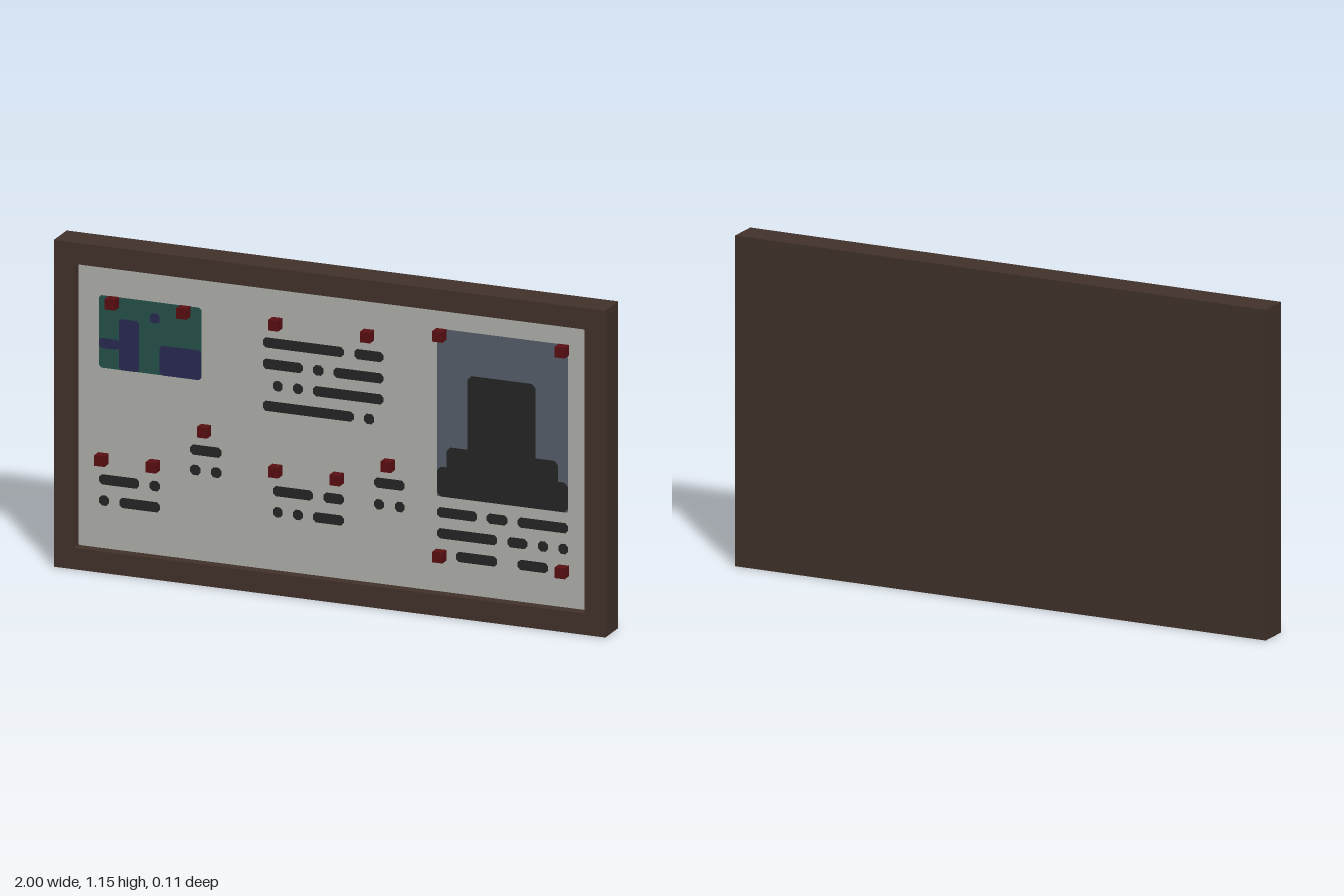
import * as THREE from 'three';

const mat = (name, color) => new THREE.MeshStandardMaterial({ name, color });

// Rectangle outline with cut corners
function cutRect(x0, x1, y0, y1, c) {
  const s = new THREE.Shape();
  s.moveTo(x0 + c, y0);
  s.lineTo(x1 - c, y0);
  s.lineTo(x1, y0 + c);
  s.lineTo(x1, y1 - c);
  s.lineTo(x1 - c, y1);
  s.lineTo(x0 + c, y1);
  s.lineTo(x0, y1 - c);
  s.lineTo(x0, y0 + c);
  s.closePath();
  return s;
}

export function createModel() {
  const wood = mat('dark wood', 0x42322a);
  const paper = mat('grey paper', 0xb0b2ac);
  const ink = mat('black ink', 0x252525);
  const red = mat('pin red', 0x5a0f12);
  const slate = mat('photo slate', 0x575e6a);
  const green = mat('picture green', 0x27524b);
  const navy = mat('picture navy', 0x292953);

  const model = new THREE.Group();
  model.name = 'noticeBoard';
  const W = 2, H = 1.15, D = 0.112, B = 0.075, FACE = 0.019;

  const add = (name, geo, material, parent = model) => {
    const m = new THREE.Mesh(geo, material);
    m.name = name;
    parent.add(m);
    return m;
  };
  const group = (name) => {
    const g = new THREE.Group();
    g.name = name;
    model.add(g);
    return g;
  };
  // Thin plates lying on the board face, one layer above another
  const plate = (name, [x0, x1, y0, y1], material, layer, cut, parent) => {
    const geo = new THREE.ShapeGeometry(cutRect(x0, x1, y0, y1, cut));
    add(name, geo, material, parent).position.z = FACE + layer * 0.0015;
  };

  // Frame with a rectangular opening, closed at the back
  const outline = cutRect(-W / 2, W / 2, 0, H, 0);
  outline.holes.push(cutRect(-W / 2 + B, W / 2 - B, B, H - B, 0.004));
  const frame = new THREE.ExtrudeGeometry(outline, { depth: D, bevelEnabled: false });
  frame.translate(0, 0, -D / 2);
  add('frame', frame, wood);
  const back = new THREE.BoxGeometry(W - B, H - B, 0.02);
  back.translate(0, H / 2, -D / 2 + 0.0105);
  add('backPanel', back, wood);
  const backFace = new THREE.PlaneGeometry(W, H);
  backFace.rotateY(Math.PI);
  backFace.translate(0, H / 2, -D / 2);
  add('backFace', backFace, wood);

  // Recessed paper surface
  const board = new THREE.BoxGeometry(W - 2 * B, H - 2 * B, 0.03);
  board.translate(0, H / 2, FACE - 0.015);
  add('boardSurface', board, paper);

  // Small landscape picture
  const picture = group('picture');
  plate('pictureField', [-0.85, -0.48, 0.71, 0.965], green, 1, 0.008, picture);
  [
    [-0.85, -0.775, 0.78, 0.815],
    [-0.777, -0.705, 0.71, 0.89],
    [-0.63, -0.48, 0.71, 0.815],
    [-0.665, -0.63, 0.89, 0.925],
  ].forEach((r) => plate('pictureShape', r, navy, 2, 0.008, picture));

  // Portrait photo with a stepped silhouette
  const portrait = group('portrait');
  plate('photoField', [0.375, 0.85, 0.41, 1.0], slate, 1, 0.003, portrait);
  [
    [0.375, 0.85, 0.41, 0.515],
    [0.41, 0.815, 0.45, 0.587],
    [0.487, 0.733, 0.5, 0.848],
  ].forEach((r, i) => plate('silhouette', r, ink, 2 + i * 0.3, 0.014, portrait));

  // Rows of dashes: height, then start and end of each dash
  const dashes = group('writing');
  [
    [0.873, -0.257, 0.037, 0.075, 0.18],
    [0.798, -0.257, -0.112, -0.075, -0.037, 0, 0.18],
    [0.724, -0.22, -0.185, -0.147, -0.112, -0.075, 0.18],
    [0.65, -0.257, 0.073, 0.11, 0.147],
    [0.463, -0.52, -0.407],
    [0.392, -0.52, -0.483, -0.445, -0.407],
    [0.317, -0.85, -0.705, -0.667, -0.63],
    [0.243, -0.85, -0.815, -0.777, -0.63],
    [0.43, 0.147, 0.257],
    [0.354, -0.22, -0.075, -0.037, 0.037, 0.147, 0.182, 0.222, 0.257,
      0.375, 0.52, 0.555, 0.63, 0.667, 0.85],
    [0.28, -0.22, -0.185, -0.147, -0.112, -0.075, 0.037,
      0.375, 0.593, 0.63, 0.702, 0.741, 0.777, 0.815, 0.85],
    [0.205, 0.443, 0.593, 0.667, 0.777],
  ].forEach(([y, ...ends]) => {
    for (let i = 0; i < ends.length; i += 2) {
      plate('dash', [ends[i], ends[i + 1], y - 0.018, y + 0.018], ink, 1, 0.01, dashes);
    }
  });

  // Cube pins
  const pins = group('pins');
  const pin = new THREE.BoxGeometry(0.037, 0.037, 0.037);
  [
    [-0.797, 0.947], [-0.538, 0.947], [-0.205, 0.947], [0.128, 0.947],
    [0.39, 0.982], [0.834, 0.982], [-0.463, 0.538], [-0.835, 0.392],
    [-0.648, 0.392], [-0.205, 0.43], [0.018, 0.43], [0.203, 0.5],
    [0.39, 0.205], [0.834, 0.205],
  ].forEach(([x, y]) => add('pin', pin, red, pins).position.set(x, y, FACE + 0.0185));

  return model;
}
